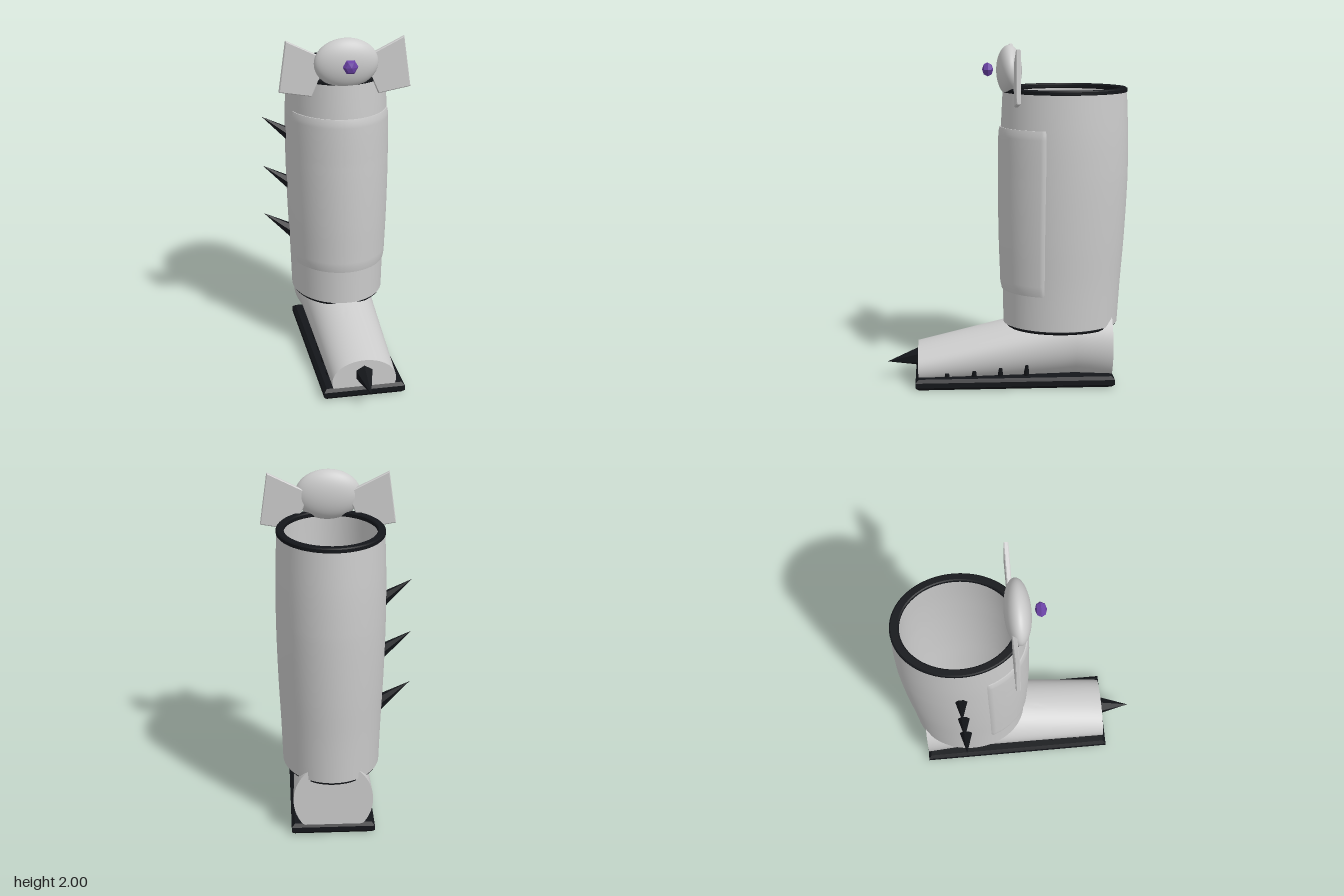
import * as THREE from 'three';
import { toCreasedNormals } from 'three/addons/utils/BufferGeometryUtils.js';

const CX = 0.03; // centre line of the boot
const grey = new THREE.MeshStandardMaterial({ color: 0xcccccc, side: THREE.DoubleSide });
const black = new THREE.MeshStandardMaterial({ color: 0x14161a });
const blackFlat = new THREE.MeshStandardMaterial({ color: 0x14161a, flatShading: true });
const purple = new THREE.MeshStandardMaterial({ color: 0x6b42a6, flatShading: true });

// Moves every vertex of a geometry by a rule
function warp(geo, rule) {
  const p = geo.attributes.position;
  const v = new THREE.Vector3();
  for (let i = 0; i < p.count; i++) {
    v.fromBufferAttribute(p, i);
    rule(v);
    p.setXYZ(i, v.x, v.y, v.z);
  }
  return toCreasedNormals(geo, 0.6);
}

// Turns a round leg shape into the deeper oval of the shaft, leaning back slightly
function oval(v) {
  const lean = THREE.MathUtils.clamp((v.y - 0.35) / 0.9, 0, 1);
  v.x += CX;
  v.z = v.z * 1.22 - 0.325 - 0.016 * lean;
}

// Shaft outline: radius and height
const outline = [[0.28, 0.355], [0.288, 0.6], [0.299, 0.85], [0.306, 1.1], [0.308, 1.3], [0.306, 1.5], [0.297, 1.74]];
const curve = new THREE.SplineCurve(outline.map(([r, y]) => new THREE.Vector2(r, y)));

// Wall profile between two heights, from an inner offset to an outer offset
function wall(y0, y1, inner, outer, bevel = 0) {
  const mid = curve.getPoints(60).filter((p) => p.y > y0 + 0.012 && p.y < y1 - 0.012);
  const at = (y) => curve.getPoints(300).reduce((a, b) => (Math.abs(b.y - y) < Math.abs(a.y - y) ? b : a)).x;
  const pts = [
    new THREE.Vector2(at(y0) + inner, y0),
    new THREE.Vector2(at(y0) + outer - bevel, y0),
    ...mid.map((p) => new THREE.Vector2(p.x + outer, p.y)),
    new THREE.Vector2(at(y1) + outer - bevel, y1),
    new THREE.Vector2(at(y1) + inner, y1),
    ...mid.reverse().map((p) => new THREE.Vector2(p.x + inner, p.y)),
  ];
  return [...pts, pts[0].clone()];
}

// Bevelled band with an outer and inner radius
function band(rIn, rOut, y0, y1, b = 0.006) {
  const pts = [[rIn, y0 + b], [rIn + b, y0], [rOut - b, y0], [rOut, y0 + b],
    [rOut, y1 - b], [rOut - b, y1], [rIn + b, y1], [rIn, y1 - b], [rIn, y0 + b]];
  return warp(new THREE.LatheGeometry(pts.map(([x, y]) => new THREE.Vector2(x, y)), 64), oval);
}

// Foot cross-section at a given z
function footSection(z) {
  const t = THREE.MathUtils.clamp((z + 0.62) / 1.15, 0, 1);
  const ry = THREE.MathUtils.lerp(0.24, 0.13, t);
  const top = Math.min(0.46, 0.36 - 0.245 * z);
  return { rx: THREE.MathUtils.lerp(0.228, 0.19, t), ry, cy: top - ry };
}

// Cone from a base point to a tip
function spike(base, tip, radius) {
  const dir = tip.clone().sub(base);
  const mesh = new THREE.Mesh(new THREE.ConeGeometry(radius, dir.length(), 6), blackFlat);
  mesh.position.copy(base).addScaledVector(dir, 0.5);
  mesh.quaternion.setFromUnitVectors(new THREE.Vector3(0, 1, 0), dir.normalize());
  return mesh;
}

export function createModel() {
  const boot = new THREE.Group();
  boot.name = 'boot';
  const add = (name, mesh) => {
    mesh.name = name;
    boot.add(mesh);
    return mesh;
  };

  // Sole: a slab with chamfered edges
  const b = 0.018;
  const slab = new THREE.Shape();
  const hx = 0.24 - b, hz = 0.588 - b;
  slab.moveTo(-hx, -hz).lineTo(hx, -hz).lineTo(hx, hz).lineTo(-hx, hz).closePath();
  const soleGeo = new THREE.ExtrudeGeometry(slab, {
    depth: 0.065 - 2 * b, bevelThickness: b, bevelSize: b, bevelSegments: 1,
  }).rotateX(-Math.PI / 2);
  add('sole', new THREE.Mesh(soleGeo, black)).position.set(CX, b, -0.042);

  // Foot: a tapering oval tube with flat ends, flattened on the sole
  const footGeo = new THREE.CylinderGeometry(1, 1, 1, 64, 16).rotateX(Math.PI / 2);
  const foot = warp(footGeo, (v) => {
    v.z = -0.62 + (v.z + 0.5) * 1.15;
    const s = footSection(v.z);
    v.x = CX + v.x * s.rx;
    v.y = Math.max(0.06, s.cy + v.y * s.ry);
  });
  add('foot', new THREE.Mesh(foot, grey));

  // Small studs along both sides of the foot
  [[0.36, 0.09], [0.2, 0.105], [0.045, 0.122], [-0.11, 0.14]].forEach(([z, top]) => {
    const s = footSection(z);
    const y = (top + 0.05) / 2;
    const half = s.rx * Math.sqrt(Math.max(0, 1 - ((y - s.cy) / s.ry) ** 2));
    for (const side of [-1, 1]) {
      const stud = new THREE.Mesh(new THREE.CylinderGeometry(0.013, 0.016, top - 0.05, 8), black);
      stud.position.set(CX + side * half, y, z);
      stud.rotation.z = -side * 0.25;
      add('sideStud', stud);
    }
  });

  // Hollow shaft with a dark band at each end
  add('shaft', new THREE.Mesh(warp(new THREE.LatheGeometry(wall(0.355, 1.74, -0.028, 0), 64), oval), grey));
  add('topCollar', new THREE.Mesh(band(0.257, 0.3, 1.728, 1.757), black));
  add('ankleBand', new THREE.Mesh(band(0.245, 0.274, 0.334, 0.362, 0.01), black));

  // Curved shin plate, its side edges sunk into the shaft
  const reach = 1.215;
  const plateGeo = new THREE.LatheGeometry(wall(0.563, 1.53, -0.012, 0.011, 0.006), 64, -reach, reach * 2);
  const plate = warp(plateGeo, (v) => {
    if (Math.abs(Math.atan2(v.x, v.z)) > reach - 0.01) {
      v.x *= 0.97;
      v.z *= 0.97;
    }
    oval(v);
  });
  add('shinPlate', new THREE.Mesh(plate, grey));

  // Side spikes on the right
  for (const y of [1.46, 1.148, 0.836]) {
    add('sideSpike', spike(new THREE.Vector3(-0.21, y - 0.15, -0.36), new THREE.Vector3(-0.42, y, -0.36), 0.05));
  }
  add('toeSpike', spike(new THREE.Vector3(CX, 0.142, 0.51), new THREE.Vector3(CX, 0.11, 0.715), 0.06));

  // Knee disc with a floating gem
  const disc = add('kneeDisc', new THREE.Mesh(new THREE.SphereGeometry(1, 48, 32), grey));
  disc.scale.set(0.188, 0.145, 0.074);
  disc.position.set(CX, 1.855, -0.016);
  const gemGeo = new THREE.SphereGeometry(0.045, 6, 4).rotateX(Math.PI / 2).scale(1, 1, 0.72);
  add('gem', new THREE.Mesh(gemGeo, purple)).position.set(CX, 1.86, 0.108);

  // Mirrored wing plates beside the disc
  for (const side of [-1, 1]) {
    const corners = [[0.11, 1.87], [0.2, 1.665], [0.382, 1.697], [0.342, 1.985]];
    const pts = corners.map(([x, y]) => new THREE.Vector2(side * x, y));
    const wing = new THREE.ExtrudeGeometry(new THREE.Shape(pts), {
      depth: 0.017, bevelThickness: 0.005, bevelSize: 0.005, bevelSegments: 1,
    });
    add(side > 0 ? 'leftWing' : 'rightWing', new THREE.Mesh(wing, grey)).position.set(CX, 0, -0.055);
  }

  return boot;
}
